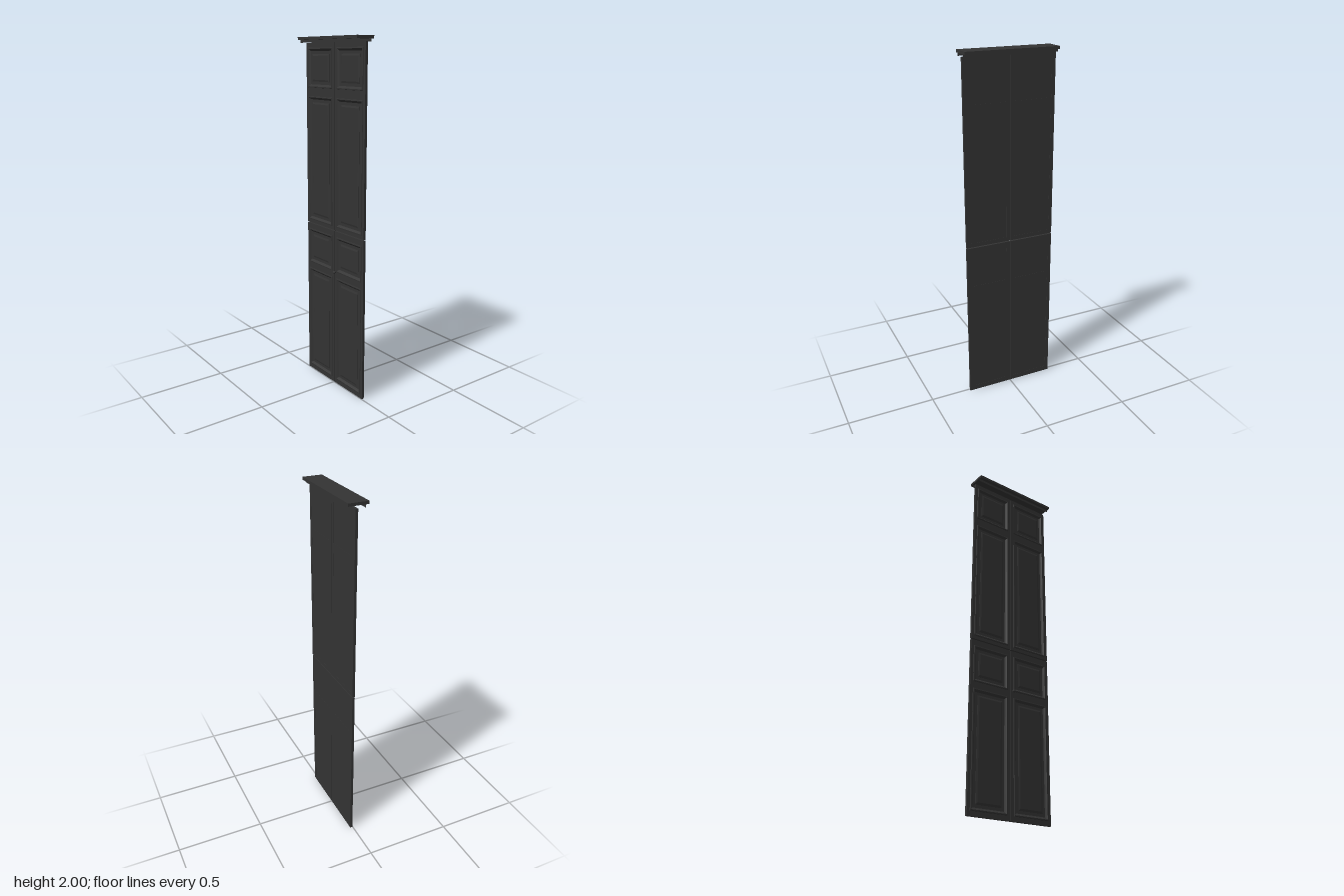
import * as THREE from 'three';

const dark = new THREE.MeshStandardMaterial({ color: 0x333333, side: THREE.DoubleSide });

function addMesh(parent, name, geometry, x = 0, y = 0, z = 0) {
  const mesh = new THREE.Mesh(geometry, dark);
  mesh.name = name;
  mesh.position.set(x, y, z);
  parent.add(mesh);
  return mesh;
}

// Counter-clockwise rectangle, usable as an outline or a hole
function trace(path, x0, y0, x1, y1) {
  path.moveTo(x0, y0);
  path.lineTo(x1, y0);
  path.lineTo(x1, y1);
  path.lineTo(x0, y1);
  path.closePath();
  return path;
}

const extrude = (shape, depth) => new THREE.ExtrudeGeometry(shape, { depth, bevelEnabled: false });

// Rectangular tapered ring or field: outer rectangle at zA, inner at zB
function rectLoft(w, h, steps, capped) {
  const pos = [], index = [];
  const quad = (a, b, c, d) => {
    const n = pos.length / 3;
    pos.push(...a, ...b, ...c, ...d);
    index.push(n, n + 1, n + 2, n, n + 2, n + 3);
  };
  const loop = ([inset, z]) => {
    const x = w / 2 - inset, y = h / 2 - inset;
    return [[-x, -y, z], [x, -y, z], [x, y, z], [-x, y, z]];
  };
  const loops = steps.map(loop);
  for (let i = 0; i + 1 < loops.length; i++) {
    for (let k = 0; k < 4; k++) {
      const m = (k + 1) % 4;
      quad(loops[i][k], loops[i][m], loops[i + 1][m], loops[i + 1][k]);
    }
  }
  if (capped) quad(...loops[loops.length - 1]);
  const g = new THREE.BufferGeometry();
  g.setAttribute('position', new THREE.Float32BufferAttribute(pos, 3));
  g.setIndex(index);
  g.computeVertexNormals();
  return g;
}

// A door leaf: frame with openings, each filled by a moulded raised panel
function makeDoor(name, side, y0, y1, panels) {
  const door = new THREE.Group();
  door.name = name;
  const range = (a, b) => (side > 0 ? [a, b] : [-b, -a]);
  const [x0, x1] = range(0.0015, 0.264);
  const [p0, p1] = range(0.024, 0.243);
  const w = p1 - p0, cx = (p0 + p1) / 2;
  const frame = trace(new THREE.Shape(), x0, y0, x1, y1);
  for (const [a, b] of panels) {
    frame.holes.push(trace(new THREE.Path(), p0, a, p1, b));
    const cy = (a + b) / 2, h = b - a;
    addMesh(door, 'panelBack', new THREE.BoxGeometry(w, h, 0.007), cx, cy, -0.0115);
    addMesh(door, 'panelMoulding', rectLoft(w, h,
      [[-0.004, -0.002], [-0.003, 0.001], [0.003, 0.002], [0.008, -0.003], [0.014, -0.008]], false), cx, cy);
    addMesh(door, 'raisedField', rectLoft(w, h,
      [[0.03, -0.008], [0.03, -0.006], [0.04, -0.003]], true), cx, cy);
  }
  addMesh(door, 'doorFrame', extrude(frame, 0.014), 0, 0, -0.016);
  return door;
}

export function createModel() {
  const model = new THREE.Group();
  model.name = 'panelledCupboardFront';

  // Doors are drawn upright in XY, then turned to face -x
  const doors = new THREE.Group();
  doors.name = 'doors';
  doors.rotation.y = -Math.PI / 2;
  model.add(doors);
  for (const side of [1, -1]) {
    doors.add(makeDoor('upperDoor', side, 0.942, 1.97, [[0.965, 1.675], [1.73, 1.94]]));
    doors.add(makeDoor('lowerDoor', side, 0, 0.936, [[0.03, 0.655], [0.7, 0.9]]));
  }

  // Small turned knob
  const profile = [[0, 0.016], [0.006, 0.014], [0.009, 0.01], [0.007, 0.006], [0.004, 0.004], [0.004, -0.003]]
    .reverse().map(([r, y]) => new THREE.Vector2(r, y));
  const knob = addMesh(doors, 'knob', new THREE.LatheGeometry(profile, 16), 0.014, 0.695, 0);
  knob.rotation.x = Math.PI / 2;

  // Cornice: top board with an open-ended moulding strip on each side beneath
  addMesh(model, 'corniceBoard', new THREE.BoxGeometry(0.11, 0.015, 0.53), 0, 1.9925, 0);
  for (const side of [1, -1]) {
    const strip = addMesh(model, 'corniceStrip', new THREE.PlaneGeometry(0.53, 0.016), side * 0.036, 1.978, 0);
    strip.rotation.y = side * Math.PI / 2;
  }
  return model;
}
